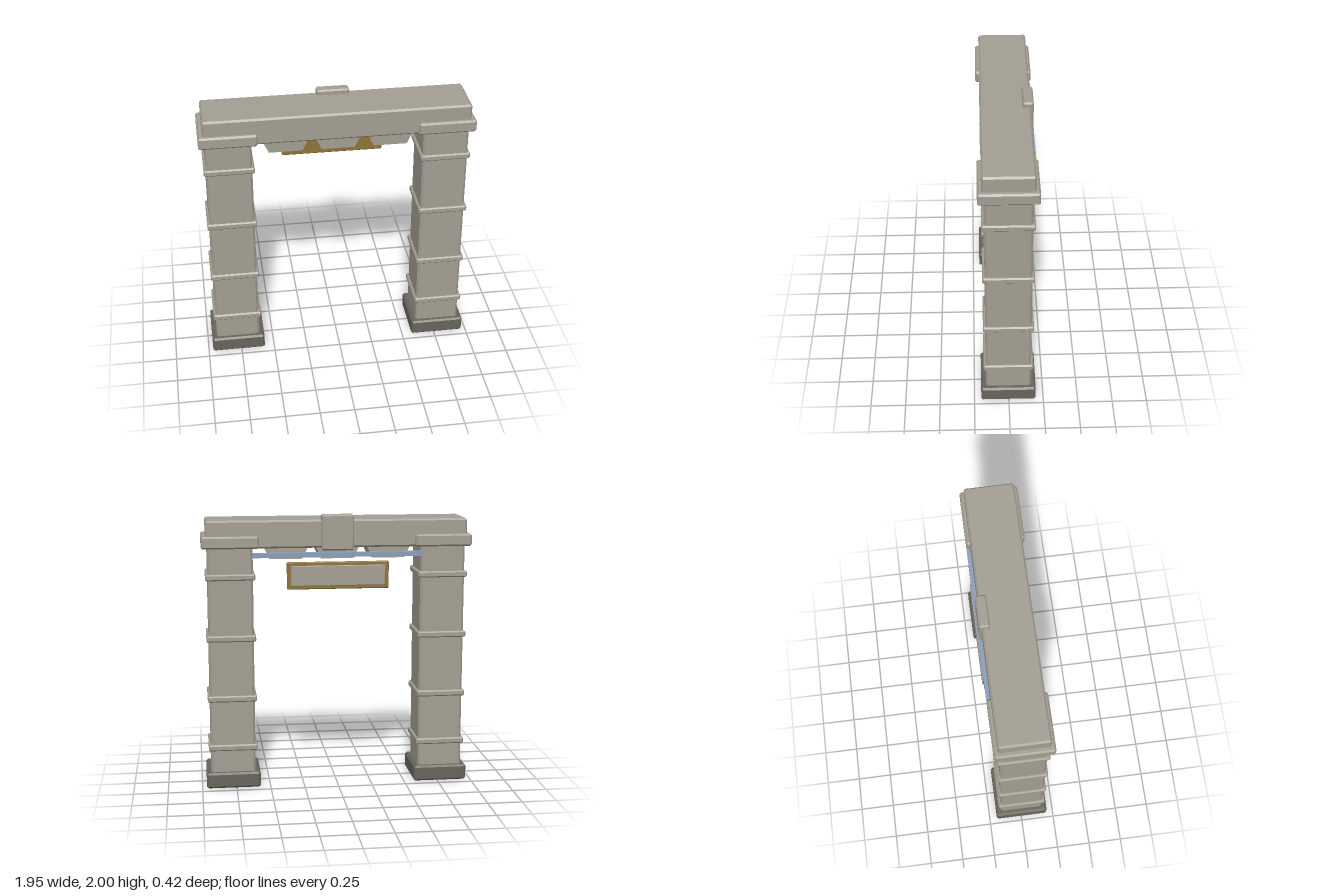
import * as THREE from 'three';
import { ConvexGeometry } from 'three/addons/geometries/ConvexGeometry.js';

const paint = (color) => new THREE.MeshStandardMaterial({ color, flatShading: true });
const stone = paint(0xa39e92);
const darkStone = paint(0x67645b);
const gold = paint(0x8f7238);
const blue = paint(0x8a9dbb);

// Box with all edges cut at 45 degrees: each corner becomes three points
function chamferBox(w, h, d, c) {
  const points = [];
  for (const x of [-1, 1]) for (const y of [-1, 1]) for (const z of [-1, 1]) {
    for (let axis = 0; axis < 3; axis++) {
      const cut = [c, c, c];
      cut[axis] = 0;
      points.push(new THREE.Vector3(x * (w / 2 - cut[0]), y * (h / 2 - cut[1]), z * (d / 2 - cut[2])));
    }
  }
  return new ConvexGeometry(points);
}

function add(parent, name, geometry, material, x, y, z) {
  const mesh = new THREE.Mesh(geometry, material);
  mesh.name = name;
  mesh.position.set(x, y, z);
  parent.add(mesh);
  return mesh;
}

// Square pillar with plinth, four bands and a capital
function createPillar(name) {
  const pillar = new THREE.Group();
  pillar.name = name;
  add(pillar, 'plinth', chamferBox(0.395, 0.115, 0.395, 0.013), darkStone, 0, 0.0575, 0);
  add(pillar, 'shaft', chamferBox(0.325, 1.73, 0.325, 0.015), stone, 0, 0.925, 0);
  for (const y of [0.3, 0.667, 1.112, 1.557]) {
    add(pillar, 'band', chamferBox(0.357, 0.045, 0.357, 0.009), stone, 0, y, 0);
  }
  add(pillar, 'capital', chamferBox(0.41, 0.088, 0.41, 0.012), stone, 0, 1.808, 0);
  return pillar;
}

export function createModel() {
  const gate = new THREE.Group();
  gate.name = 'gateway';

  for (const side of [-1, 1]) {
    const pillar = createPillar(side > 0 ? 'leftPillar' : 'rightPillar');
    pillar.position.set(side * 0.77, 0, 0.003);
    gate.add(pillar);
  }

  // Beam across the top, with a keystone on its back
  add(gate, 'lintel', chamferBox(1.885, 0.2, 0.355, 0.013), stone, 0, 1.863, 0.003);
  add(gate, 'keystone', chamferBox(0.232, 0.256, 0.076, 0.011), stone, 0, 1.872, -0.155);

  // Tapered blocks under the beam
  const profile = new THREE.Shape([
    new THREE.Vector2(-0.155, 0.08), new THREE.Vector2(-0.117, 0),
    new THREE.Vector2(0.117, 0), new THREE.Vector2(0.155, 0.08),
  ]);
  const block = new THREE.ExtrudeGeometry(profile, { depth: 0.31, bevelEnabled: false });
  block.translate(0, 0, -0.155);
  for (const x of [-0.37, 0, 0.37]) add(gate, 'taperedBlock', block, stone, x, 1.684, 0.003);

  // Rail between the pillars and the sign hanging below it
  add(gate, 'rail', new THREE.BoxGeometry(1.23, 0.033, 0.04), blue, 0, 1.715, -0.18);
  add(gate, 'signBoard', chamferBox(0.735, 0.195, 0.03, 0.005), gold, 0, 1.566, -0.182);
  add(gate, 'signPanel', chamferBox(0.68, 0.146, 0.016, 0.004), stone, 0, 1.566, -0.199);

  return gate;
}
